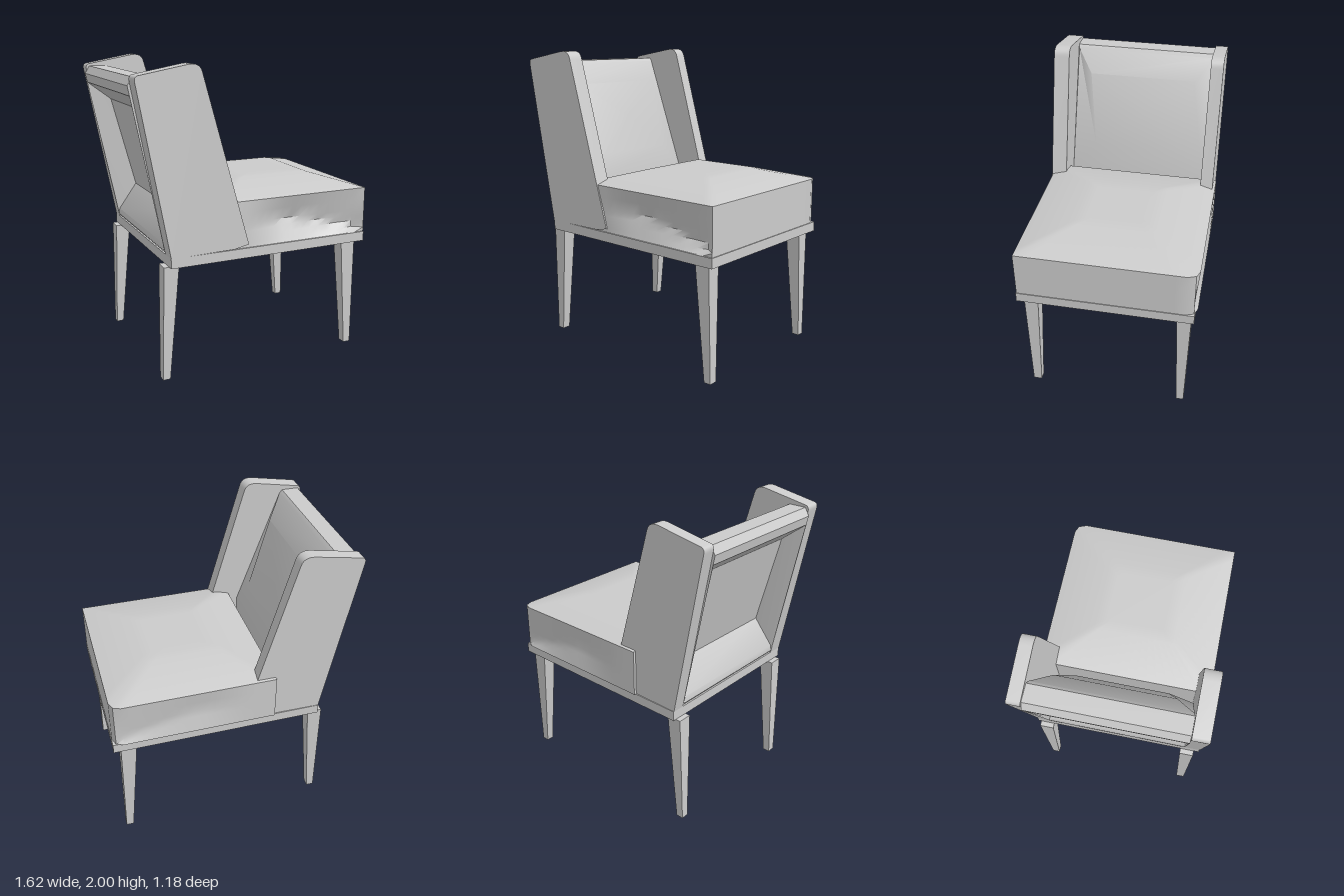
import * as THREE from 'three';
import { toCreasedNormals } from 'three/addons/utils/BufferGeometryUtils.js';

const material = new THREE.MeshStandardMaterial({ color: 0xcccccc, side: THREE.DoubleSide });
const { clamp, lerp } = THREE.MathUtils;

function addMesh(parent, name, geometry) {
  const mesh = new THREE.Mesh(geometry, material);
  mesh.name = name;
  parent.add(mesh);
  return mesh;
}

// Box given by its two opposite corners
function box(x0, x1, y0, y1, z0, z1) {
  return new THREE.BoxGeometry(x1 - x0, y1 - y0, z1 - z0)
    .translate((x0 + x1) / 2, (y0 + y1) / 2, (z0 + z1) / 2);
}

// Outline in x, y pushed out from z0 to z1
function slab(shape, z0, z1) {
  const g = new THREE.ExtrudeGeometry(shape, { depth: z1 - z0, bevelEnabled: false, curveSegments: 6 });
  return toCreasedNormals(g.translate(0, 0, z0), 0.6);
}

// Skin over a list of loops with equal point counts, closed at both ends
function loft(rings, crease) {
  const count = rings[0].length;
  const last = (rings.length - 1) * count;
  const pos = rings.flat(2), index = [];
  for (const ring of [rings[0], rings[rings.length - 1]]) {
    for (let k = 0; k < 3; k++) pos.push(ring.reduce((sum, p) => sum + p[k], 0) / count);
  }
  const firstCentre = rings.length * count;
  for (let i = 0; i < count; i++) {
    const j = (i + 1) % count;
    for (let r = 0; r < last; r += count) {
      index.push(r + i, r + j, r + j + count, r + i, r + j + count, r + i + count);
    }
    index.push(j, i, firstCentre, last + i, last + j, firstCentre + 1);
  }
  const g = new THREE.BufferGeometry();
  g.setAttribute('position', new THREE.Float32BufferAttribute(pos, 3));
  g.setIndex(index);
  return toCreasedNormals(g, crease);
}

// Square leg narrowing from its top rectangle to its foot rectangle
function legGeometry(top, foot, height) {
  const g = box(0, 1, 0, height, 0, 1);
  const p = g.attributes.position;
  for (let i = 0; i < p.count; i++) {
    const r = p.getY(i) > height / 2 ? top : foot;
    p.setX(i, p.getX(i) < 0.5 ? r[0] : r[1]);
    p.setZ(i, p.getZ(i) < 0.5 ? r[2] : r[3]);
  }
  return toCreasedNormals(g, 0.1);
}

// Depth (0 to 1) of the fold along the seat sides, which drops towards the front
function fold(x, y) {
  const creaseY = 0.98 - 0.12 * clamp((x - 0.3) / 0.46, 0, 1);
  const depth = y > creaseY ? (1.14 - y) / (1.14 - creaseY) : (y - 0.832) / (creaseY - 0.832);
  return clamp(depth, 0, 1) * clamp((x + 0.1) / 0.3, 0, 1) * clamp((0.8 - x) / 0.06, 0, 1);
}

// One rectangular loop of the seat cushion, folded in at the sides
function seatRing([y, x0, x1, z0, z1]) {
  const n = 16, ring = [];
  const corners = [[x0, z0], [x0, z1], [x1, z1], [x1, z0]];
  for (let s = 0; s < 4; s++) {
    const a = corners[s], b = corners[(s + 1) % 4];
    for (let i = 0; i < n; i++) {
      let x = lerp(a[0], b[0], i / n);
      let z = lerp(a[1], b[1], i / n);
      if (s === 1) z -= 0.06 * fold(x, y);
      if (s === 3) z += 0.025 * fold(x, y);
      // Rounded front corner
      if (s === 3 && i === 0) {
        x -= 0.02;
        z += 0.02;
      }
      ring.push([x, y, z]);
    }
  }
  return ring;
}

// One four-cornered loop of the back cushion
function backRing([xTop, yTop, xLow, yLow, topHalf, lowHalf]) {
  const z = -0.003;
  return [[xTop, yTop, z + topHalf], [xTop, yTop, z - topHalf],
    [xLow, yLow, z - lowHalf], [xLow, yLow, z + lowHalf]];
}

export function createModel() {
  const chair = new THREE.Group();
  chair.name = 'chair';

  // Board under the seat
  addMesh(chair, 'seatBase', box(-0.6, 0.81, 0.765, 0.83, -0.575, 0.585));

  // Padded seat: upright sides, then sloping up to a flat crown
  addMesh(chair, 'seatCushion', loft([
    ...[0.832, 0.86, 0.9, 0.94, 0.98, 1.06, 1.14].map((y) => [y, -0.28, 0.808, -0.59, 0.58]),
    [1.22, 0, 0.52, -0.28, 0.27],
    [1.221, 0.08, 0.44, -0.2, 0.19],
  ].map(seatRing), 0.7));

  // Leaning side panels with rounded upper corners
  const side = new THREE.Shape();
  side.moveTo(-0.6, 0.83);
  side.lineTo(-0.17, 0.835);
  side.lineTo(-0.07, 0.855);
  side.lineTo(-0.385, 1.95);
  side.quadraticCurveTo(-0.4, 2.01, -0.47, 2.0);
  side.lineTo(-0.78, 1.945);
  side.quadraticCurveTo(-0.81, 1.94, -0.8, 1.9);
  side.closePath();
  addMesh(chair, 'leftSidePanel', slab(side, 0.482, 0.588));
  addMesh(chair, 'rightSidePanel', slab(side, -0.572, -0.487));

  // Back cushion from its padded front to the dished rear:
  // top x, y, lower x, y, half width at top and bottom
  addMesh(chair, 'backCushion', loft([
    [-0.54, 1.77, -0.375, 1.29, 0.37, 0.31],
    [-0.645, 1.91, -0.35, 1.09, 0.478, 0.482],
    [-0.665, 1.93, -0.355, 0.832, 0.484, 0.484],
    [-0.78, 1.93, -0.59, 0.832, 0.484, 0.484],
    [-0.812, 1.88, -0.604, 0.85, 0.482, 0.482],
    [-0.8, 1.82, -0.6, 0.89, 0.478, 0.478],
    [-0.645, 1.7, -0.48, 1.075, 0.45, 0.45],
  ].map(backRing), 0.6));

  // Tapered legs
  for (const [name, z] of [['Left', [0.455, 0.55, 0.478, 0.535]], ['Right', [-0.555, -0.46, -0.535, -0.485]]]) {
    addMesh(chair, 'front' + name + 'Leg',
      legGeometry([0.655, 0.76, z[0], z[1]], [0.72, 0.77, z[2], z[3]], 0.766));
    addMesh(chair, 'rear' + name + 'Leg',
      legGeometry([-0.635, -0.535, z[0], z[1]], [-0.65, -0.6, z[2], z[3]], 0.766));
  }

  return chair;
}
